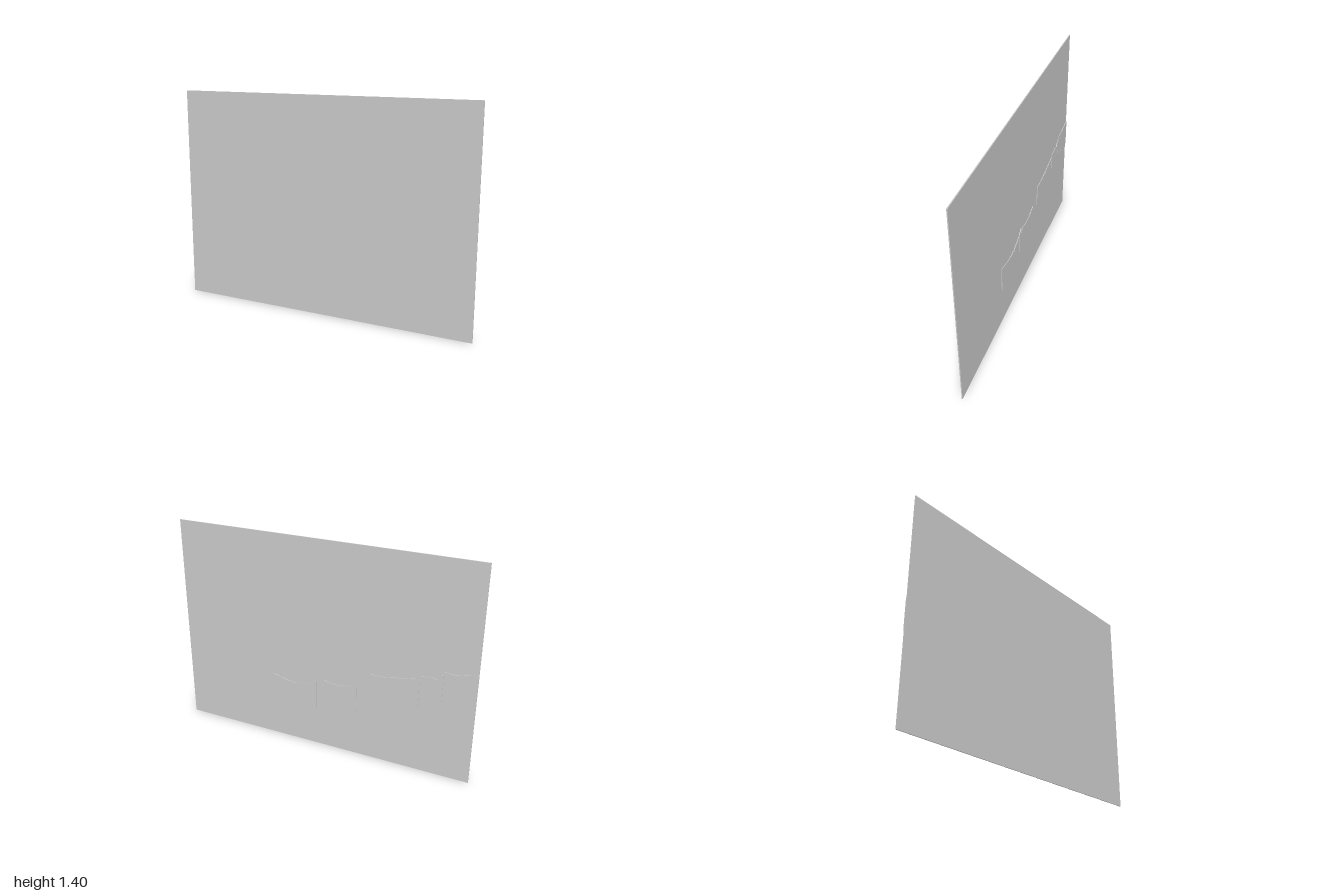
import * as THREE from 'three';

const material = new THREE.MeshStandardMaterial({ color: 0xcccccc, flatShading: true });

// Thin plate with a straight bottom edge and a ragged top edge, on the rear of the board
function raggedPlate(name, bottom, top) {
  const first = top[0], last = top[top.length - 1];
  const shape = new THREE.Shape();
  shape.moveTo(first[0], bottom);
  top.forEach(([x, y]) => shape.lineTo(x, y));
  shape.lineTo(last[0], bottom);
  shape.closePath();
  const geometry = new THREE.ExtrudeGeometry(shape, { depth: 0.005, bevelEnabled: false });
  const mesh = new THREE.Mesh(geometry, material);
  mesh.name = name;
  mesh.position.z = -0.005;
  return mesh;
}

// Narrow V cut in a top edge
const nick = (x, y, depth) => [[x + 0.006, y], [x, y - depth], [x - 0.006, y]];

export function createModel() {
  const group = new THREE.Group();
  group.name = 'panel';

  // Large flat board
  const board = new THREE.Mesh(new THREE.BoxGeometry(2, 1.4, 0.006), material);
  board.name = 'board';
  board.position.set(0, 0.7, 0.002);
  group.add(board);

  // Row of plates stepping up toward the right edge; top edges run from +x to -x
  const plates = [
    ['innerPlate', 0.267, [
      [0.345, 0.449], [0.29, 0.434], [0.23, 0.419],
      ...nick(0.17, 0.416, 0.014), ...nick(0.125, 0.424, 0.014), ...nick(0.08, 0.436, 0.016),
      [0.05, 0.45], [0.03, 0.457]]],
    ['notchedPlate', 0.31, [
      [0.028, 0.463], [0.005, 0.478], [-0.008, 0.492], [-0.018, 0.447], [-0.027, 0.447],
      [-0.03, 0.482], [-0.07, 0.472], [-0.11, 0.466], [-0.165, 0.47], [-0.2, 0.484], [-0.25, 0.5]]],
    ['middlePlate', 0.444, [
      [-0.335, 0.596], [-0.38, 0.594], [-0.43, 0.595], [-0.48, 0.603],
      ...nick(-0.517, 0.61, 0.022), [-0.58, 0.622], [-0.653, 0.634]]],
    ['smallPlate', 0.507, [
      [-0.66, 0.653], [-0.7, 0.658], [-0.735, 0.662], [-0.76, 0.656],
      [-0.775, 0.668], [-0.785, 0.692], [-0.797, 0.69]]],
    ['outerPlate', 0.543, [
      [-0.8, 0.713], [-0.83, 0.71], [-0.864, 0.709], [-0.93, 0.72], [-1, 0.734]]],
  ];
  plates.forEach((p) => group.add(raggedPlate(...p)));

  // Slim seam on the outer plate
  const seam = new THREE.Mesh(new THREE.BoxGeometry(0.003, 0.165, 0.001), material);
  seam.name = 'seam';
  seam.position.set(-0.864, 0.626, -0.005);
  group.add(seam);
  return group;
}
